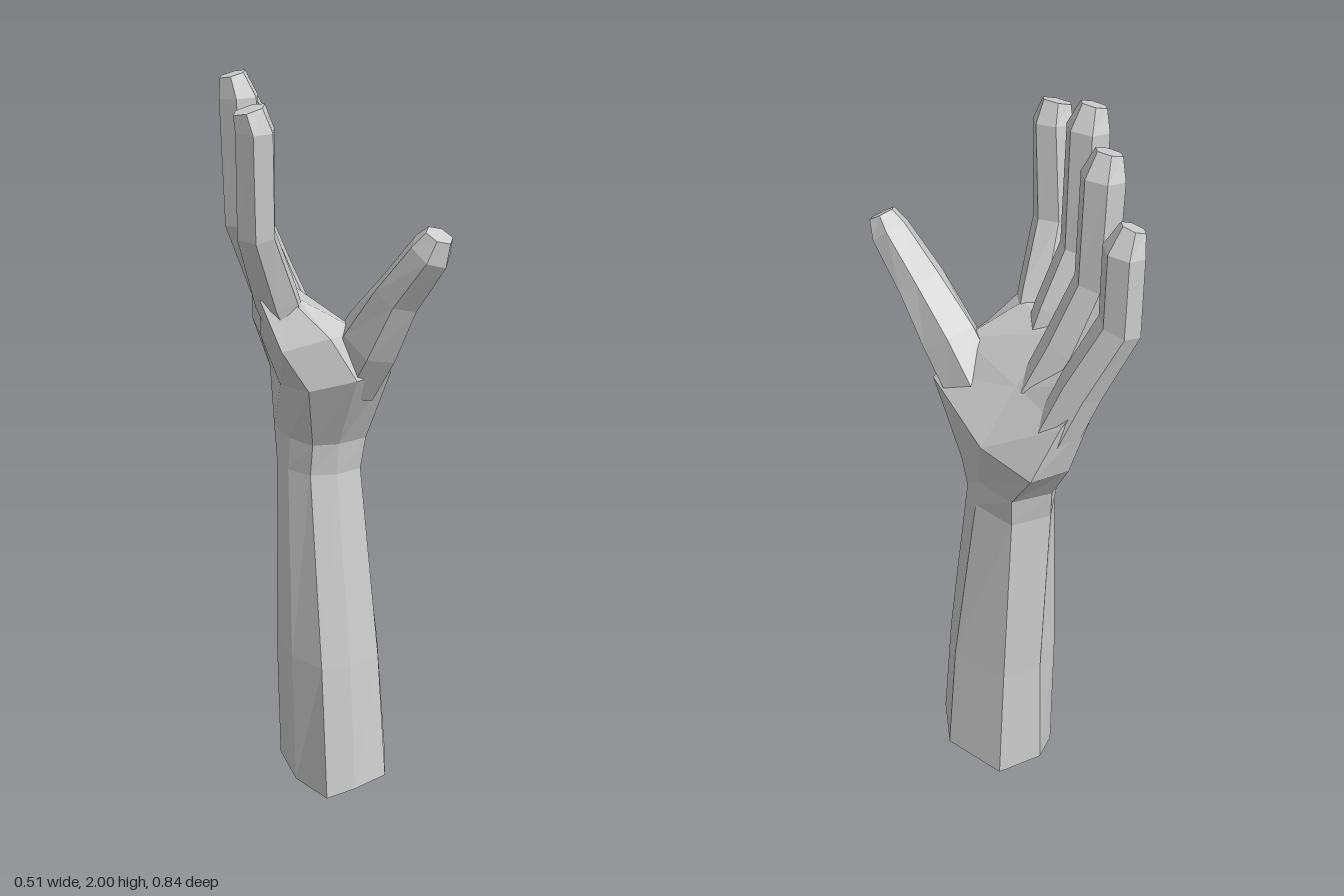
import * as THREE from 'three';

const material = new THREE.MeshStandardMaterial({
  color: 0xcccccc, flatShading: true, side: THREE.DoubleSide,
});

// Skin a stack of equal-sized rings, closing the upper end with a fan.
function loft(name, rings) {
  const n = rings[0].length;
  const top = rings[rings.length - 1];
  const centre = new THREE.Vector3();
  top.forEach((p) => centre.addScaledVector(p, 1 / n));
  const pos = [];
  const tri = (a, b, c) => [a, b, c].forEach((p) => pos.push(p.x, p.y, p.z));
  for (let k = 0; k < rings.length - 1; k++) {
    for (let i = 0; i < n; i++) {
      const j = (i + 1) % n;
      tri(rings[k][i], rings[k + 1][i], rings[k][j]);
      tri(rings[k][j], rings[k + 1][i], rings[k + 1][j]);
    }
  }
  for (let i = 0; i < n; i++) tri(centre, top[(i + 1) % n], top[i]);
  const geo = new THREE.BufferGeometry();
  geo.setAttribute('position', new THREE.Float32BufferAttribute(pos, 3));
  geo.computeVertexNormals();
  const mesh = new THREE.Mesh(geo, material);
  mesh.name = name;
  return mesh;
}

// Six-sided digit along a path of [x, y, z, depth radius, width radius].
function digit(name, path) {
  const pts = path.map((p) => new THREE.Vector3(p[0], p[1], p[2]));
  const rings = path.map(([, , , rv, rw], i) => {
    const t = pts[Math.min(i + 1, pts.length - 1)].clone()
      .sub(pts[Math.max(i - 1, 0)]).normalize();
    const w = new THREE.Vector3(0, 0, 1).addScaledVector(t, -t.z).normalize();
    const v = t.clone().cross(w);
    return Array.from({ length: 6 }, (_, k) => {
      const a = (k / 6) * Math.PI * 2;
      return pts[i].clone().addScaledVector(v, rv * Math.cos(a)).addScaledVector(w, rw * Math.sin(a));
    });
  });
  return loft(name, rings);
}

export function createModel() {
  const group = new THREE.Group();
  group.name = 'hand';
  const ring = (list) => list.map((p) => new THREE.Vector3(...p));
  const flat = (y, list) => list.map(([x, z]) => new THREE.Vector3(x, y, z));

  // Forearm: open slanted cut at the bottom, narrowing to the wrist
  const cut = flat(0, [[0.26, 0.04], [0.19, 0.18], [0.08, 0.205], [0, 0.19],
    [-0.035, 0.05], [-0.02, -0.1], [0.06, -0.16], [0.2, -0.15]]);
  cut.forEach((p) => { p.y = 0.03 * THREE.MathUtils.clamp((p.x + 0.03) / 0.12, 0, 1); });
  const forearm = [
    cut,
    flat(0.4, [[0.232, 0.03], [0.18, 0.14], [0.08, 0.168], [0, 0.15],
      [-0.042, 0.04], [-0.03, -0.1], [0.06, -0.157], [0.18, -0.148]]),
    flat(0.95, [[0.18, -0.02], [0.15, 0.07], [0.07, 0.09], [0, 0.07],
      [-0.035, 0], [-0.03, -0.09], [0.04, -0.172], [0.15, -0.15]]),
    flat(1.04, [[0.18, -0.04], [0.16, 0.08], [0.07, 0.1], [0, 0.085],
      [-0.03, 0], [-0.025, -0.12], [0.05, -0.19], [0.16, -0.165]]),
  ];
  // Palm: heel, hollow, knuckle line
  const palm = [
    ring([[0.222, 1.21, -0.12], [0.18, 1.25, 0.18], [0.06, 1.25, 0.225], [-0.05, 1.22, 0.17],
      [-0.065, 1.2, 0.02], [-0.02, 1.2, -0.16], [0.07, 1.18, -0.29], [0.185, 1.19, -0.29]]),
    ring([[0.1, 1.34, -0.1], [0.1, 1.36, 0.15], [0, 1.36, 0.19], [-0.12, 1.33, 0.16],
      [-0.12, 1.34, 0.02], [-0.07, 1.34, -0.16], [0.04, 1.34, -0.33], [0.12, 1.34, -0.32]]),
    ring([[-0.01, 1.46, -0.1], [-0.05, 1.45, 0.09], [-0.09, 1.46, 0.14], [-0.165, 1.46, 0.13],
      [-0.13, 1.48, 0.02], [-0.08, 1.47, -0.14], [-0.01, 1.46, -0.345], [0.05, 1.45, -0.35]]),
  ];
  group.add(loft('forearmAndPalm', [...forearm, ...palm]));

  // Fingers and thumb
  const digits = {
    indexFinger: [[-0.04, 1.32, 0.06, 0.05, 0.06], [-0.11, 1.46, 0.1, 0.06, 0.065],
      [-0.18, 1.63, 0.145, 0.05, 0.065], [-0.19, 1.88, 0.17, 0.05, 0.058],
      [-0.205, 1.93, 0.172, 0.042, 0.038]],
    middleFinger: [[0, 1.32, -0.03, 0.05, 0.06], [-0.07, 1.47, -0.035, 0.06, 0.072],
      [-0.14, 1.63, -0.035, 0.052, 0.065], [-0.15, 1.94, -0.035, 0.052, 0.06],
      [-0.165, 1.995, -0.035, 0.035, 0.035]],
    ringFinger: [[0.06, 1.32, -0.13, 0.05, 0.06], [0, 1.46, -0.17, 0.055, 0.068],
      [-0.06, 1.63, -0.203, 0.052, 0.06], [-0.07, 1.9, -0.205, 0.052, 0.06],
      [-0.085, 1.955, -0.205, 0.035, 0.035]],
    littleFinger: [[0.1, 1.25, -0.25, 0.06, 0.06], [0.05, 1.43, -0.305, 0.055, 0.06],
      [-0.005, 1.61, -0.372, 0.048, 0.06], [-0.005, 1.8, -0.375, 0.045, 0.058],
      [-0.025, 1.855, -0.38, 0.032, 0.032]],
    thumb: [[0.1, 1.23, 0.1, 0.08, 0.1], [0.12, 1.35, 0.185, 0.08, 0.095],
      [0.145, 1.48, 0.28, 0.068, 0.062], [0.18, 1.6, 0.37, 0.055, 0.058],
      [0.19, 1.643, 0.392, 0.038, 0.035]],
  };
  for (const [name, path] of Object.entries(digits)) group.add(digit(name, path));
  return group;
}
